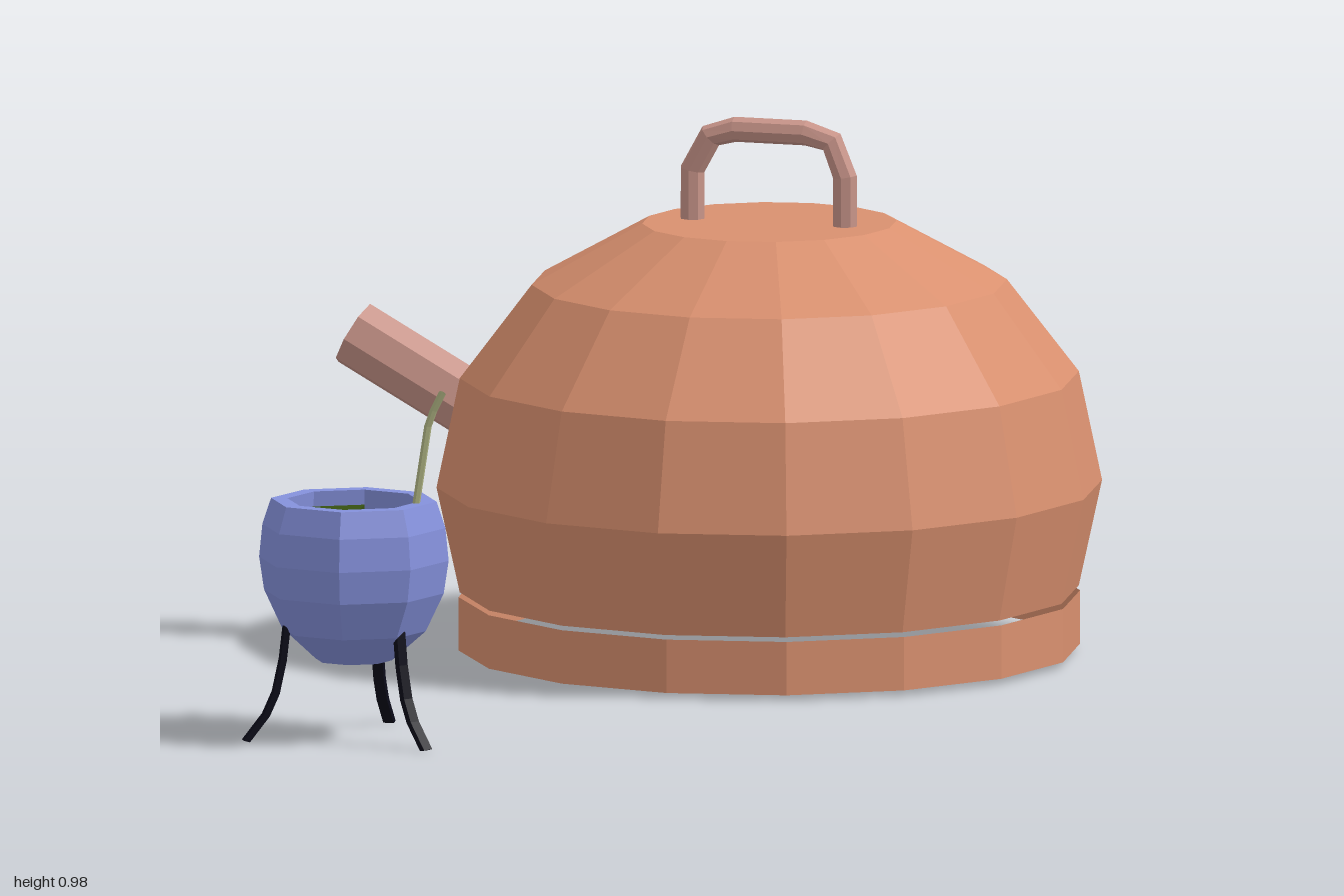
import * as THREE from 'three';

const paint = (name, color, side = THREE.FrontSide) => {
  const m = new THREE.MeshStandardMaterial({ color, flatShading: true, side });
  m.name = name;
  return m;
};

// Polyline path whose corners are mitred when swept as a tube
class Polyline extends THREE.Curve {
  constructor(points) {
    super();
    this.points = points.map((p) => new THREE.Vector3(...p));
  }
  getPoint(t, target = new THREE.Vector3()) {
    const n = this.points.length - 1;
    const s = Math.min(Math.max(t, 0), 1) * n;
    const i = Math.min(Math.floor(s), n - 1);
    return target.lerpVectors(this.points[i], this.points[i + 1], s - i);
  }
  getPointAt(u, target) { return this.getPoint(u, target); }
  getTangentAt(u, target) { return this.getTangent(u, target); }
}

const lathe = (profile, sides, phi = 0) =>
  new THREE.LatheGeometry(profile.map(([r, y]) => new THREE.Vector2(r, y)), sides, phi);
const tube = (points, radius, sides) =>
  new THREE.TubeGeometry(new Polyline(points), points.length - 1, radius, sides);

export function createModel() {
  const model = new THREE.Group();
  const copper = paint('copper', 0xd9906f, THREE.DoubleSide);
  const pink = paint('dusty pink', 0xc9958a);
  const blue = paint('periwinkle', 0x8591dc);
  const green = paint('herb green', 0x365010);
  const black = paint('near black', 0x0a0a18);
  const straw = paint('pale olive', 0xb0b584, THREE.DoubleSide);

  const add = (parent, name, geometry, material) => {
    const mesh = new THREE.Mesh(geometry, material);
    mesh.name = name;
    parent.add(mesh);
    return mesh;
  };

  // Kettle: domed body over an open base ring
  const kettle = new THREE.Group();
  kettle.name = 'kettle';
  kettle.position.set(0.1, 0, -0.377);
  model.add(kettle);
  const body = add(kettle, 'kettleBody', lathe([[0, 0.117], [0.56, 0.117], [0.602, 0.31],
    [0.56, 0.51], [0.43, 0.68], [0.23, 0.79], [0, 0.79]], 16), copper);
  body.scale.z = 1.038;
  const base = add(kettle, 'kettleBase', lathe([[0.563, 0.01], [0.563, 0.108]], 16), copper);
  base.scale.z = 1.025;

  // Handle
  add(kettle, 'kettleHandle', tube([[-0.147, 0.78, 0], [-0.147, 0.88, 0], [-0.112, 0.943, 0],
    [-0.065, 0.957, 0], [0.07, 0.957, 0], [0.12, 0.943, 0], [0.145, 0.88, 0],
    [0.145, 0.78, 0]], 0.023, 8), pink);

  // Hollow spout, leaning out to the right side
  const spoutStart = new THREE.Vector3(-0.42, 0.422, -0.307);
  const spoutAxis = new THREE.Vector3(-0.668, 0.56, -0.297).sub(spoutStart);
  const len = spoutAxis.length();
  const spout = add(model, 'kettleSpout', lathe([[0, 0], [0.063, 0], [0.063, len],
    [0.051, len], [0.051, 0.02], [0, 0.02]], 8), pink);
  spout.position.copy(spoutStart);
  spout.quaternion.setFromUnitVectors(new THREE.Vector3(0, 1, 0), spoutAxis.normalize());

  // Gourd cup
  const cup = new THREE.Group();
  cup.name = 'gourdCup';
  cup.position.set(-0.283, 0, 0.832);
  model.add(cup);
  const turn = THREE.MathUtils.degToRad(10);
  add(cup, 'gourdBowl', lathe([[0, 0.145], [0.07, 0.145], [0.132, 0.2], [0.165, 0.27],
    [0.174, 0.33], [0.168, 0.39], [0.152, 0.438], [0.122, 0.438], [0.13, 0.36],
    [0, 0.36]], 8, turn), blue);

  // Herb filling: two half octagons, one side piled higher
  [[1, 0.38], [-1, 0.41]].forEach(([side, top]) => {
    const half = new THREE.Shape();
    for (let i = 0; i <= 4; i++) {
      const a = i * Math.PI / 4;
      const x = side * 0.125 * Math.sin(a), y = 0.125 * Math.cos(a);
      if (i) half.lineTo(x, y); else half.moveTo(x, y);
    }
    const geo = new THREE.ExtrudeGeometry(half, { depth: top - 0.35, bevelEnabled: false });
    geo.rotateX(-Math.PI / 2).rotateY(turn);
    add(cup, side > 0 ? 'herbsLow' : 'herbsHigh', geo, green).position.y = 0.35;
  });

  // Drinking straw
  add(cup, 'straw', tube([[0.108, 0.36, 0], [0.12, 0.44, 0], [0.142, 0.58, 0],
    [0.153, 0.61, 0], [0.17, 0.643, 0]], 0.007, 6), straw);

  // Three curved strap legs
  const path = [[0.125, 0.21], [0.132, 0.15], [0.145, 0.09], [0.163, 0.05], [0.2, 0.003]];
  const outline = [...path.map(([r, y]) => [r + 0.005, y]),
    ...path.map(([r, y]) => [r - 0.006, y - 0.003]).reverse()];
  const strap = new THREE.ExtrudeGeometry(
    new THREE.Shape(outline.map(([r, y]) => new THREE.Vector2(r, Math.max(y, 0)))),
    { depth: 0.02, bevelEnabled: false }).translate(0, 0, -0.01);
  ['back', 'left', 'right'].forEach((name, i) => {
    add(cup, name + 'Leg', strap, black).rotation.y = Math.PI / 2 - [0, 2, 4][i] * Math.PI / 3;
  });

  return model;
}
